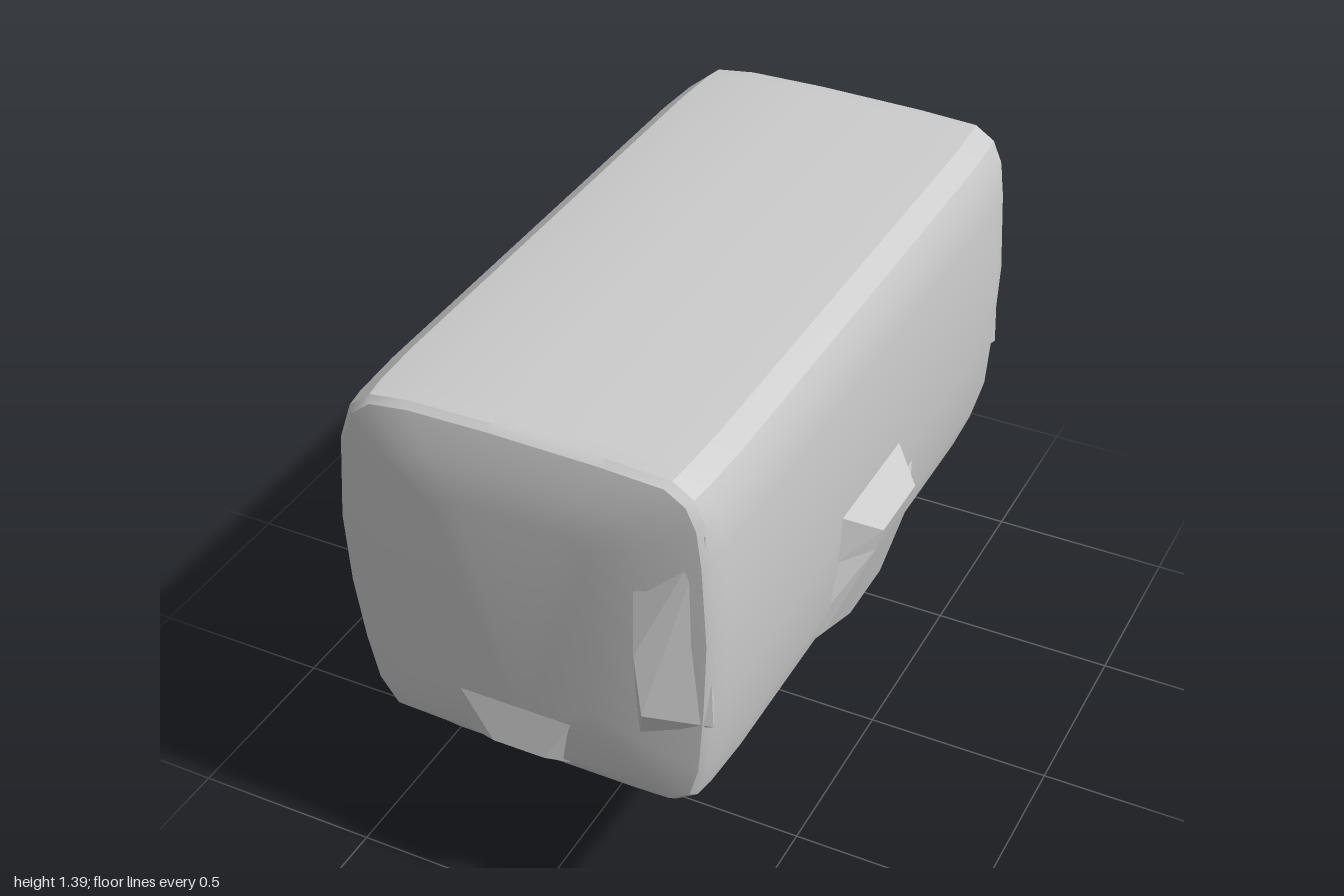
import * as THREE from 'three';
import { ConvexGeometry } from 'three/addons/geometries/ConvexGeometry.js';
import { toCreasedNormals } from 'three/addons/utils/BufferGeometryUtils.js';

const material = new THREE.MeshStandardMaterial({ color: 0xcccccc });

// Convex faceted block from a few corner points
function block(name, points) {
  const mesh = new THREE.Mesh(new ConvexGeometry(points.map(p => new THREE.Vector3(...p))), material);
  mesh.name = name;
  return mesh;
}

// Closed loft through rings of equal point count, ordered by increasing z
function loft(rings) {
  const n = rings[0].length, pos = rings.flat(2), index = [];
  for (let i = 0; i < rings.length - 1; i++) {
    for (let j = 0; j < n; j++) {
      const k = (j + 1) % n, a = i * n + j, b = i * n + k;
      index.push(a, b, b + n, a, b + n, a + n);
    }
  }
  const last = (rings.length - 1) * n;
  for (let j = 1; j < n - 1; j++) {
    index.push(last, last + j, last + j + 1, 0, j + 1, j);
  }
  const g = new THREE.BufferGeometry();
  g.setAttribute('position', new THREE.Float32BufferAttribute(pos, 3));
  g.setIndex(index);
  return toCreasedNormals(g, 0.5);
}

export function createModel() {
  const group = new THREE.Group();

  // Main body: lopsided rounded section, counterclockwise from bottom centre
  const section = [
    [0, 0.37], [0.25, 0.39], [0.37, 0.42], [0.43, 0.46], [0.455, 0.55], [0.47, 0.75], [0.478, 0.95],
    [0.465, 1.18], [0.452, 1.28], [0.425, 1.34], [0.37, 1.375], [0.2, 1.383], [-0.1, 1.387], [-0.32, 1.383],
    [-0.43, 1.368], [-0.49, 1.32], [-0.525, 1.22], [-0.545, 1.0], [-0.535, 0.8], [-0.51, 0.63],
    [-0.48, 0.5], [-0.43, 0.43], [-0.25, 0.39],
  ];
  const cx = -0.035, cy = 0.88;
  const ring = (z, sx, sy, lift = 0) => section.map(([x, y]) =>
    [cx + (x - cx) * sx, Math.max(cy + (y - cy) * sy, 0.37 + lift), z]);
  const half = [
    [0.7, 1, 1, 0], [0.85, 0.985, 0.997, 0.02], [0.905, 0.97, 0.99, 0.045],
    [0.925, 0.945, 0.965, 0.07], [0.955, 0.7, 0.8, 0], [0.97, 0.42, 0.6, 0],
  ];
  const rings = [
    ...half.slice().reverse().map(([z, ...r]) => ring(-z, ...r)),
    ...half.map(([z, ...r]) => ring(z, ...r)),
  ];
  const body = new THREE.Mesh(loft(rings), material);
  body.name = 'body';
  group.add(body);

  for (const s of [1, -1]) {
    const end = s > 0 ? 'front' : 'rear';

    // Upright fin beside the end panel
    group.add(block(end + 'Fin', [
      [0.27, 1.2, 0.93], [0.3, 0.92, 0.995], [0.32, 0.75, 1], [0.3, 0.67, 0.97], [0.27, 0.69, 0.93],
      [0.44, 1.25, 0.91], [0.46, 0.7, 0.91], [0.27, 1.2, 0.85], [0.44, 1.25, 0.85], [0.44, 0.7, 0.85],
    ].map(([x, y, z]) => [x, y, z * s])));

    // Sloped lip under the end panel
    group.add(block(end + 'Lip', [
      [-0.25, 0.68, 0.955], [0.15, 0.68, 0.955], [-0.09, 0.505, 0.995], [0.05, 0.505, 0.995],
      [-0.3, 0.43, 0.89], [0.12, 0.42, 0.89], [-0.25, 0.68, 0.8], [0.15, 0.68, 0.8], [0, 0.43, 0.8],
    ].map(([x, y, z]) => [x, y, z * s])));

    // Legs running from the lower edges of the body down to the rail
    group.add(block(end + 'LeftLeg', [
      [0.42, 0.44, 0.38], [0.42, 0.45, 0.58], [0.25, 0.41, 0.39], [0.25, 0.41, 0.56],
      [0.27, 0.28, 0.52], [0.1, 0.16, 0.31], [0.08, 0.18, 0.43], [0.06, 0.06, 0.31],
    ].map(([x, y, z]) => [x, y, z * s])));
    group.add(block(end + 'RightLeg', [
      [-0.47, 0.48, 0.42], [-0.47, 0.48, 0.68], [-0.27, 0.41, 0.4], [-0.28, 0.41, 0.66],
      [-0.36, 0.28, 0.58], [-0.25, 0.28, 0.37], [-0.17, 0.21, 0.36], [-0.17, 0.14, 0.35], [-0.17, 0.21, 0.5],
    ].map(([x, y, z]) => [x, y, z * s])));
  }

  // Rail with sloped ends: the upper edge is longer than the keel
  const railSection = [
    [-0.17, 0.21, 0.5], [-0.02, 0.22, 0.46], [0.08, 0.18, 0.43], [0.1, 0.15, 0.38],
    [0.045, 0.02, 0.31], [0, 0.005, 0.3], [-0.03, 0, 0.3], [-0.06, 0.02, 0.31], [-0.17, 0.13, 0.42],
  ];
  group.add(block('rail', railSection.flatMap(([x, y, z]) => [[x, y, z], [x, y, -z]])));

  // Wedge-shaped latch on the left side with its skirt below
  group.add(block('latch', [
    [0.465, 0.84, 0.22], [0.465, 0.84, -0.16], [0.545, 0.75, 0.11], [0.545, 0.75, -0.1],
    [0.53, 0.69, 0.12], [0.53, 0.69, -0.1], [0.46, 0.69, 0.22], [0.46, 0.69, -0.16],
    [0.38, 0.84, 0.22], [0.38, 0.84, -0.16], [0.38, 0.69, 0.22], [0.38, 0.69, -0.16],
  ]));
  group.add(block('latchSkirt', [
    [0.53, 0.69, 0.11], [0.53, 0.69, -0.1], [0.465, 0.69, 0.2], [0.465, 0.69, -0.28],
    [0.46, 0.44, 0.1], [0.46, 0.44, -0.1], [0.44, 0.46, 0.22], [0.44, 0.47, -0.28],
    [0.38, 0.43, 0.35], [0.38, 0.43, -0.35], [0.38, 0.69, 0.2], [0.38, 0.69, -0.28],
  ]));

  return group;
}
